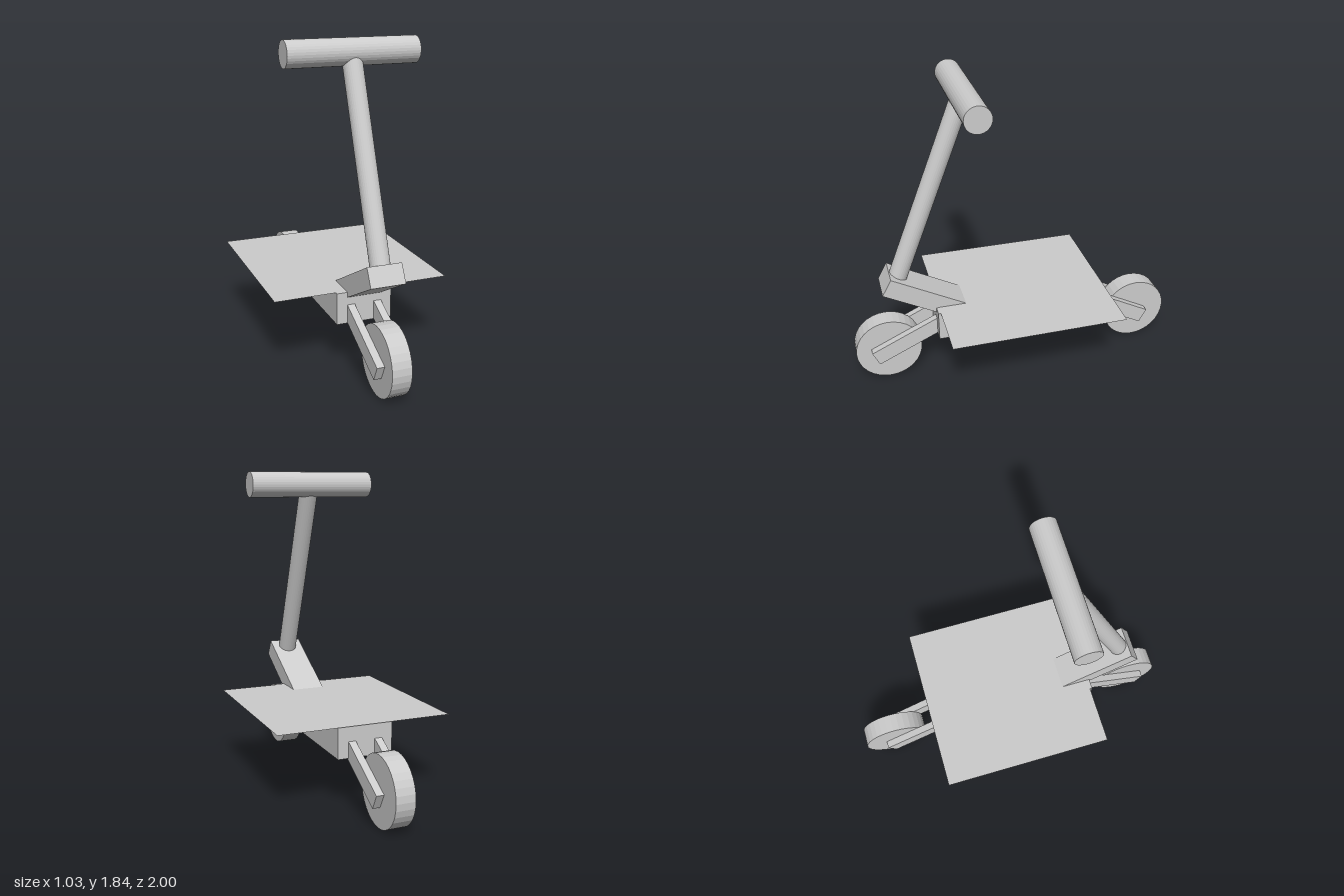
import * as THREE from 'three';

const material = new THREE.MeshStandardMaterial({ color: 0xcccccc, flatShading: true });
const sheetMaterial = new THREE.MeshStandardMaterial({ color: 0xcccccc, side: THREE.DoubleSide });

export function createModel() {
  const model = new THREE.Group();
  model.name = 'kickScooter';

  function add(name, geometry, x, y, z, mat = material) {
    const mesh = new THREE.Mesh(geometry, mat);
    mesh.name = name;
    mesh.position.set(x, y, z);
    model.add(mesh);
    return mesh;
  }

  // Slanted box running between two [z, y] points
  function slantedBar(name, x, width, thickness, [z0, y0], [z1, y1]) {
    const length = Math.hypot(z1 - z0, y1 - y0);
    const bar = add(name, new THREE.BoxGeometry(width, thickness, length), x, (y0 + y1) / 2, (z0 + z1) / 2);
    bar.rotation.x = -Math.atan2(y1 - y0, z1 - z0);
  }

  // Cylinder lying across the model
  function crossCylinder(name, radius, width, y, z) {
    add(name, new THREE.CylinderGeometry(radius, radius, width, 32).rotateZ(Math.PI / 2), 0, y, z);
  }

  // Body and the thin standing sheet on top of it
  add('body', new THREE.BoxGeometry(0.325, 0.184, 1.03), 0, 0.388, -0.01);
  add('deckSheet', new THREE.PlaneGeometry(1.03, 1.035).rotateX(-Math.PI / 2), 0, 0.481, -0.027, sheetMaterial);

  // Wheels
  crossCylinder('frontWheel', 0.2, 0.113, 0.2, 0.8);
  crossCylinder('rearWheel', 0.2, 0.113, 0.2, -0.8);

  // Fork arms on both sides of each wheel
  for (const [side, s] of [['left', 1], ['right', -1]]) {
    slantedBar(`${side}FrontFork`, s * 0.079, 0.044, 0.096, [0.888, 0.175], [0.452, 0.377]);
    slantedBar(`${side}RearFork`, s * 0.079, 0.044, 0.096, [-0.848, 0.163], [-0.478, 0.361]);
  }

  // Neck block rising forward out of the body
  slantedBar('neck', 0, 0.2, 0.114, [0.788, 0.67], [0.305, 0.406]);

  // Steering column leaning back to the handlebar
  const foot = new THREE.Vector3(0, 0.665, 0.715);
  const head = new THREE.Vector3(0, 1.766, 0.29);
  const axis = head.clone().sub(foot);
  const column = add('steeringColumn', new THREE.CylinderGeometry(0.056, 0.056, axis.length(), 32), 0, 0, 0);
  column.position.copy(foot).add(head).multiplyScalar(0.5);
  column.quaternion.setFromUnitVectors(new THREE.Vector3(0, 1, 0), axis.normalize());

  crossCylinder('handlebar', 0.076, 0.765, 1.766, 0.288);

  return model;
}
